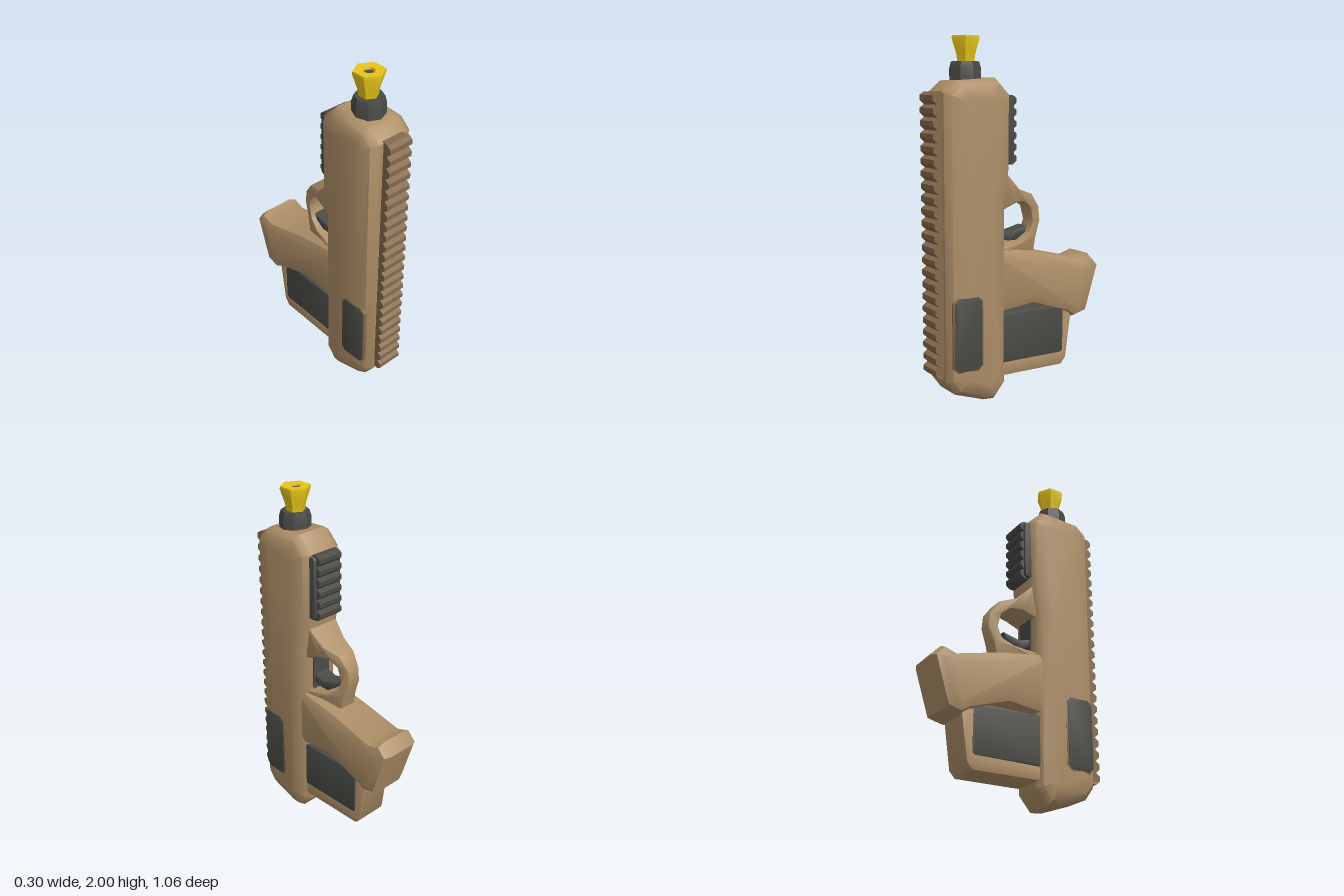
import * as THREE from 'three';
import { toCreasedNormals } from 'three/addons/utils/BufferGeometryUtils.js';

const mat = (name, color) => {
  const m = new THREE.MeshStandardMaterial({ color });
  m.name = name;
  return m;
};

export function createModel() {
  const group = new THREE.Group();
  const tan = mat('tan', 0xae8f68);
  const brown = mat('brown', 0x846a4c);
  const grey = mat('dark grey', 0x4a4b46);
  const yellow = mat('yellow', 0xe8c61a);

  const add = (name, geometry, material) => {
    const mesh = new THREE.Mesh(geometry, material);
    mesh.name = name;
    group.add(mesh);
    return mesh;
  };

  // Side outline of [z, y] points, extruded symmetrically across x.
  // widthAt(y, z) scales x to taper the part.
  const prism = (points, half, inset, depth, widthAt, crease = 0.75) => {
    const shape = new THREE.Shape(points.map(([z, y]) => new THREE.Vector2(z, y)));
    const g = new THREE.ExtrudeGeometry(shape, {
      depth: 2 * (half - depth), bevelEnabled: inset > 0, bevelSize: inset,
      bevelOffset: -inset, bevelThickness: depth, bevelSegments: 2,
    });
    g.translate(0, 0, -(half - depth));
    g.rotateY(-Math.PI / 2);
    if (widthAt) {
      const p = g.attributes.position;
      for (let i = 0; i < p.count; i++) p.setX(i, p.getX(i) * widthAt(p.getY(i), p.getZ(i)));
    }
    return toCreasedNormals(g, crease);
  };

  // Rectangle with cut corners
  const panel = (z0, z1, y0, y1, c) => [
    [z0 + c, y0], [z1 - c, y0], [z1, y0 + c], [z1, y1 - c],
    [z1 - c, y1], [z0 + c, y1], [z0, y1 - c], [z0, y0 + c],
  ];

  // Main body with wide chamfers, slightly slimmer towards the lower end
  add('body', prism([
    [0.24, 0.004], [0.42, 0.065], [0.475, 0.14], [0.475, 1.7],
    [0.4, 1.765], [0.165, 1.78], [0.075, 1.69], [0.078, 1.28], [0.106, 1.1],
    [0.105, 0.085], [0.175, 0],
  ], 0.15, 0.095, 0.06, (y) => 0.915 + 0.05 * y), tan);

  // Grip with flared end
  add('grip', prism([
    [0.22, 0.87], [0.1, 0.845], [-0.11, 0.81], [-0.39, 0.74], [-0.47, 0.765], [-0.53, 0.7],
    [-0.445, 0.425], [-0.355, 0.4], [-0.3, 0.435], [-0.07, 0.51], [0.1, 0.49], [0.22, 0.48],
  ], 0.139, 0.055, 0.055, (y, z) => 0.93 - 0.155 * z), tan);

  // Frame under the grip, with a dark inset showing on both sides
  add('lowerFrame', prism([
    [0.2, 0.12], [-0.28, 0.12], [-0.315, 0.16], [-0.355, 0.45], [-0.26, 0.47],
    [-0.26, 0.23], [0.2, 0.21],
  ], 0.105, 0.025, 0.025), tan);
  add('lowerInset', prism(panel(-0.285, 0.2, 0.2, 0.485, 0.015), 0.108, 0.01, 0.01), grey);

  // Trigger guard, narrowing towards the back
  add('triggerGuard', prism([
    [0.14, 1.32], [0.07, 1.24], [0, 1.17], [-0.1, 1.135], [-0.155, 1.06], [-0.165, 0.98],
    [-0.13, 0.885], [-0.11, 0.79], [0.14, 0.8], [0.14, 0.85], [-0.02, 0.875], [-0.085, 0.915],
    [-0.108, 0.98], [-0.09, 1.06], [-0.035, 1.1], [0.03, 1.095], [0.14, 1.055],
  ], 0.1, 0.008, 0.012, (y, z) => THREE.MathUtils.clamp(0.93 + (z - 0.03) * 2.8, 0.38, 1)), tan);

  // Trigger and the dark plate behind it
  add('trigger', prism([
    [0.14, 0.96], [0.09, 0.945], [0.03, 0.93], [-0.07, 0.955], [-0.06, 0.92],
    [0, 0.88], [0.05, 0.88], [0.14, 0.91],
  ], 0.05, 0.006, 0.01), grey);
  add('triggerPlate', new THREE.BoxGeometry(0.12, 0.22, 0.009), grey).position.set(0, 0.965, 0.103);

  // Toothed strips: front rail and rear block
  const teeth = (y0, y1, count, zBase, zLow, zHigh) => {
    const points = [[zBase, y0]];
    const step = (y1 - y0) / count;
    for (let i = 0; i < count; i++) {
      const y = y0 + i * step;
      points.push([zLow, y], [zHigh, y + step * 0.3], [zHigh, y + step * 0.7], [zLow, y + step * 0.95]);
    }
    points.push([zBase, y1]);
    return points;
  };
  add('frontRail', prism(teeth(0.165, 1.71, 23, 0.44, 0.507, 0.53), 0.075, 0, 0,
    (y, z) => (z < 0.45 ? 0.8 : 1), 0.3), brown);
  add('rearBlock', prism(teeth(1.31, 1.69, 6, 0.13, 0.045, 0.022), 0.082, 0, 0, null, 0.3), grey);
  add('rearBlockBase', prism(panel(0.045, 0.112, 1.315, 1.68, 0.015), 0.1, 0.01, 0.01), grey);

  // Side panels with a thin brown border, leaning in towards the front
  const lean = (y, z) => 1 - (z - 0.28) * 0.33;
  add('sidePanelBorder', prism(panel(0.27, 0.452, 0.195, 0.62, 0.03), 0.1445, 0.01, 0.012, lean), brown);
  add('sidePanels', prism(panel(0.28, 0.444, 0.205, 0.61, 0.025), 0.149, 0.006, 0.006, lean), grey);

  // Collar and flared muzzle tip with a dark hollow
  const turned = (profile, sides) => toCreasedNormals(
    new THREE.LatheGeometry(profile.map(([r, y]) => new THREE.Vector2(r, y)), sides), 0.5);
  add('collar', turned([[0, 1.72], [0.088, 1.72], [0.088, 1.83], [0.078, 1.865], [0, 1.865]], 8), grey)
    .position.z = 0.295;
  add('muzzleTip', turned([
    [0.052, 1.86], [0.057, 1.9], [0.085, 1.985], [0.083, 2], [0.033, 1.998], [0.028, 1.975],
  ], 6), yellow).position.z = 0.29;
  const hollow = add('muzzleHollow', new THREE.CylinderGeometry(0.032, 0.032, 0.008, 6), grey);
  hollow.position.set(0, 1.982, 0.29);

  return group;
}
